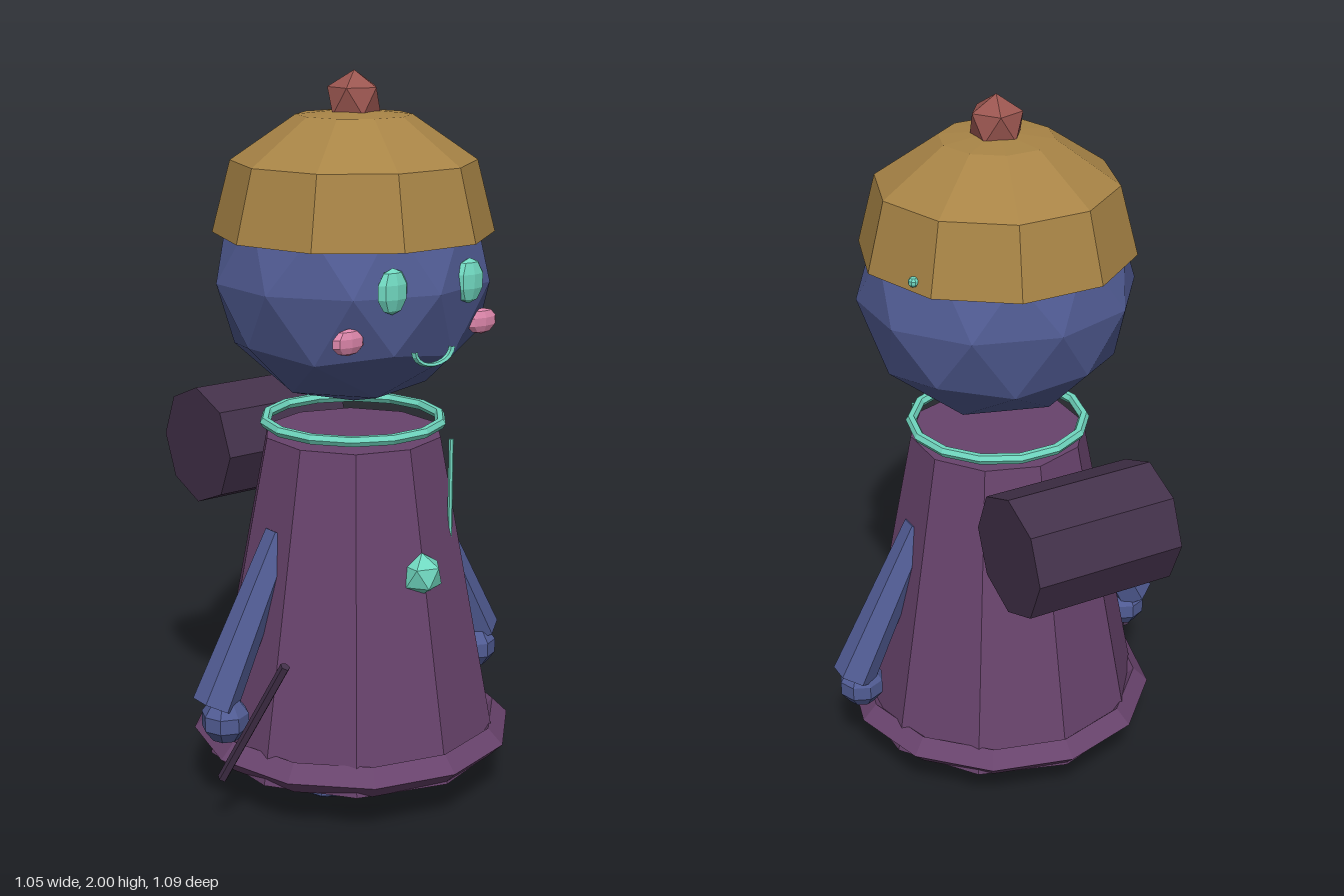
import * as THREE from 'three';

const mat = (name, color, side = THREE.FrontSide) => {
  const m = new THREE.MeshStandardMaterial({ color, flatShading: true, side });
  m.name = name;
  return m;
};

export function createModel() {
  const blue = mat('blue skin', 0x515c94);
  const plum = mat('plum cloth', 0x68436c);
  const ochre = mat('ochre hat', 0xa88446, THREE.DoubleSide);
  const rust = mat('rust pompom', 0x9a5650);
  const teal = mat('teal trim', 0x70d8c0);
  const pink = mat('pink cheek', 0xdc86aa);
  const dark = mat('dark purple', 0x43314a);

  const model = new THREE.Group();
  const Z = 0.09; // depth of the body axis

  const add = (name, geo, material, x, y, z) => {
    const mesh = new THREE.Mesh(geo, material);
    mesh.name = name;
    mesh.position.set(x, y, z);
    model.add(mesh);
    return mesh;
  };

  // Icosphere with a vertex at each pole
  const ico = (detail, rx, ry, rz) =>
    new THREE.IcosahedronGeometry(1, detail)
      .rotateX(-Math.atan((1 + Math.sqrt(5)) / 2))
      .rotateY(Math.PI / 2)
      .scale(rx, ry, rz);

  // Coarse ellipsoid with a flat band round its middle
  const blob = (rx, ry, rz) =>
    new THREE.SphereGeometry(1, 8, 5).scale(rx / 0.951, ry, rz / 0.951);

  // Tapered rod between two points
  const rod = (name, a, b, ra, rb, sides, material) => {
    const from = new THREE.Vector3(...a);
    const to = new THREE.Vector3(...b);
    const dir = to.clone().sub(from);
    const mid = from.clone().add(to).multiplyScalar(0.5);
    const mesh = add(name, new THREE.CylinderGeometry(rb, ra, dir.length(), sides),
      material, mid.x, mid.y, mid.z);
    mesh.quaternion.setFromUnitVectors(new THREE.Vector3(0, 1, 0), dir.normalize());
    return mesh;
  };

  // Robe with a diamond-section hem
  add('robe', new THREE.CylinderGeometry(0.249, 0.422, 0.905, 10), plum, 0, 0.5675, Z);
  add('hem', new THREE.TorusGeometry(0.411, 0.043, 4, 12).rotateX(Math.PI / 2), plum, 0, 0.156, Z);

  // Neck ring, hanging cord and chest gem
  add('neckRing', new THREE.TorusGeometry(0.245, 0.015, 6, 14).rotateX(Math.PI / 2), teal, 0, 1.055, Z);
  add('cord', new THREE.CylinderGeometry(0.007, 0.007, 0.3, 6), teal, 0.145, 0.875, 0.337);
  add('chestGem', ico(0, 0.06, 0.06, 0.06), teal, 0, 0.685, 0.393);

  // Head and face
  add('head', ico(1, 0.389, 0.35, 0.364), blue, 0, 1.455, Z);
  add('mouth', new THREE.TorusGeometry(0.064, 0.009, 5, 10, Math.PI)
    .rotateZ(Math.PI).scale(1, 0.65, 1), teal, 0, 1.31, 0.427);
  add('sideBead', blob(0.014, 0.014, 0.014), teal, 0.325, 1.6, -0.07);

  // Hat dome and pompom
  const dome = [[0.38, 1.573], [0.33, 1.765], [0.155, 1.885], [0, 1.9]]
    .map(([r, y]) => new THREE.Vector2(r, y));
  add('hat', new THREE.LatheGeometry(dome, 10, Math.PI / 2), ochre, 0, 0, Z);
  add('pompom', ico(0, 0.079, 0.079, 0.079), rust, 0, 1.921, Z);

  // Mirrored parts
  for (const s of [1, -1]) {
    const side = s > 0 ? 'left' : 'right';
    add(side + 'Eye', blob(0.047, 0.06, 0.022), teal, s * 0.128, 1.473, 0.416);
    add(side + 'Cheek', blob(0.05, 0.035, 0.018), pink, s * 0.225, 1.345, 0.36);
    rod(side + 'Arm', [s * 0.475, 0.325, Z + 0.005], [s * 0.25, 0.77, Z + 0.005], 0.063, 0.045, 6, blue);
    add(side + 'Hand', blob(0.065, 0.067, 0.065), blue, s * 0.448, 0.283, 0.105);
    add(side + 'Foot', blob(0.114, 0.058, 0.155), blue, s * 0.145, 0.058, 0.135);
  }

  // Bedroll carried behind the shoulders
  add('bedroll', new THREE.CylinderGeometry(0.172, 0.172, 0.43, 8).rotateZ(Math.PI / 2),
    dark, 0, 0.91, -0.373);

  // Wand beside the right hand
  rod('wand', [-0.5, 0.145, 0.165], [-0.428, 0.515, 0.36], 0.014, 0.014, 5, dark);

  return model;
}
